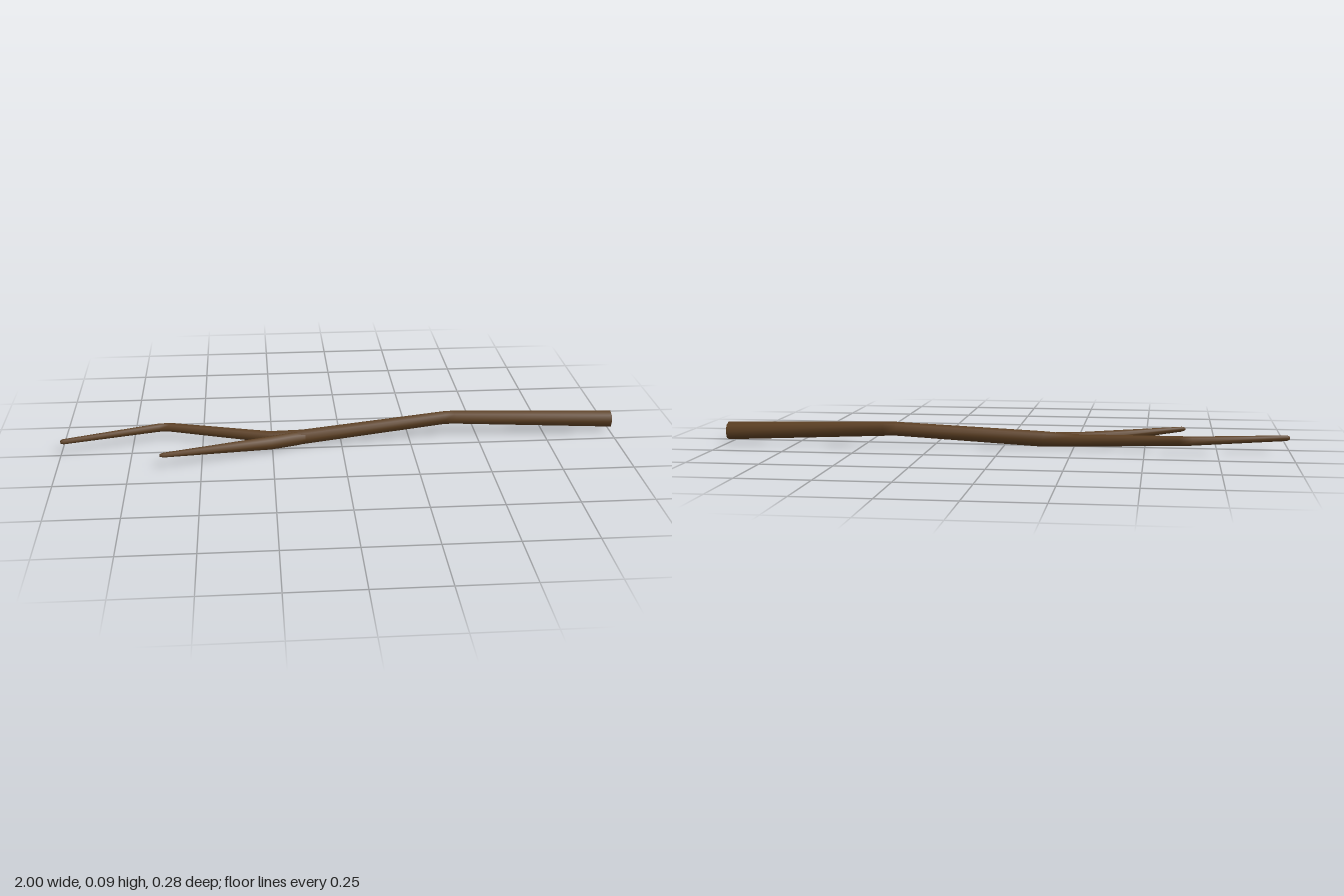
import * as THREE from 'three';

const SIDES = 8;

// Smooth octagonal tube through rings [x, y, z, radius]; the path runs toward -x.
function limb(name, rings, material) {
  const pts = rings.map(([x, y, z]) => new THREE.Vector3(x, y, z));
  const pos = [], idx = [];
  const up = new THREE.Vector3(0, 1, 0);
  rings.forEach((ring, i) => {
    const dir = new THREE.Vector3();
    if (i > 0) dir.add(pts[i].clone().sub(pts[i - 1]).normalize());
    if (i < pts.length - 1) dir.add(pts[i + 1].clone().sub(pts[i]).normalize());
    dir.normalize();
    if (i === 0) dir.set(-1, 0, 0);
    const side = dir.clone().cross(up).normalize();
    const top = side.clone().cross(dir);
    for (let k = 0; k < SIDES; k++) {
      const a = k / SIDES * Math.PI * 2;
      const p = pts[i].clone()
        .addScaledVector(side, Math.sin(a) * ring[3])
        .addScaledVector(top, Math.cos(a) * ring[3]);
      pos.push(p.x, p.y, p.z);
      if (i > 0) {
        const k2 = (k + 1) % SIDES, a0 = (i - 1) * SIDES, b0 = i * SIDES;
        idx.push(a0 + k, a0 + k2, b0 + k, a0 + k2, b0 + k2, b0 + k);
      }
    }
  });
  // Close the thin tip with a fan
  const last = (rings.length - 1) * SIDES;
  for (let k = 1; k < SIDES - 1; k++) idx.push(last, last + k, last + k + 1);
  const geo = new THREE.BufferGeometry();
  geo.setAttribute('position', new THREE.Float32BufferAttribute(pos, 3));
  geo.setIndex(idx);
  geo.computeVertexNormals();
  const mesh = new THREE.Mesh(geo, material);
  mesh.name = name;
  return mesh;
}

export function createModel() {
  const bark = new THREE.MeshStandardMaterial({ color: 0x5c3f22 });
  bark.name = 'bark';
  const cutWood = new THREE.MeshStandardMaterial({ color: 0xdddddd });
  cutWood.name = 'cutWood';

  const group = new THREE.Group();
  group.name = 'branch';

  // Main stem, continuing into the longer bent twig at the back
  group.add(limb('stem', [
    [1, 0.046, -0.078, 0.032],
    [0.42, 0.066, -0.09, 0.026],
    [0.38, 0.066, -0.088, 0.025],
    [-0.14, 0.031, -0.033, 0.028],
    [-0.26, 0.03, -0.045, 0.022],
    [-0.62, 0.047, -0.121, 0.017],
    [-0.66, 0.047, -0.119, 0.016],
    [-0.99, 0.048, -0.017, 0.010],
    [-1, 0.048, -0.014, 0.006],
  ], bark));

  // Short straight twig splitting off to the front
  group.add(limb('sideTwig', [
    [-0.08, 0.034, -0.036, 0.02],
    [-0.17, 0.028, -0.024, 0.026],
    [-0.26, 0.027, 0.004, 0.025],
    [-0.63, 0.051, 0.131, 0.009],
    [-0.642, 0.052, 0.135, 0.005],
  ], bark));

  // Cut face at the thick end
  const cap = new THREE.Mesh(new THREE.CircleGeometry(0.032, SIDES, Math.PI / 2), cutWood);
  cap.name = 'cutEnd';
  cap.rotation.y = Math.PI / 2;
  cap.position.set(1, 0.046, -0.078);
  group.add(cap);

  return group;
}
